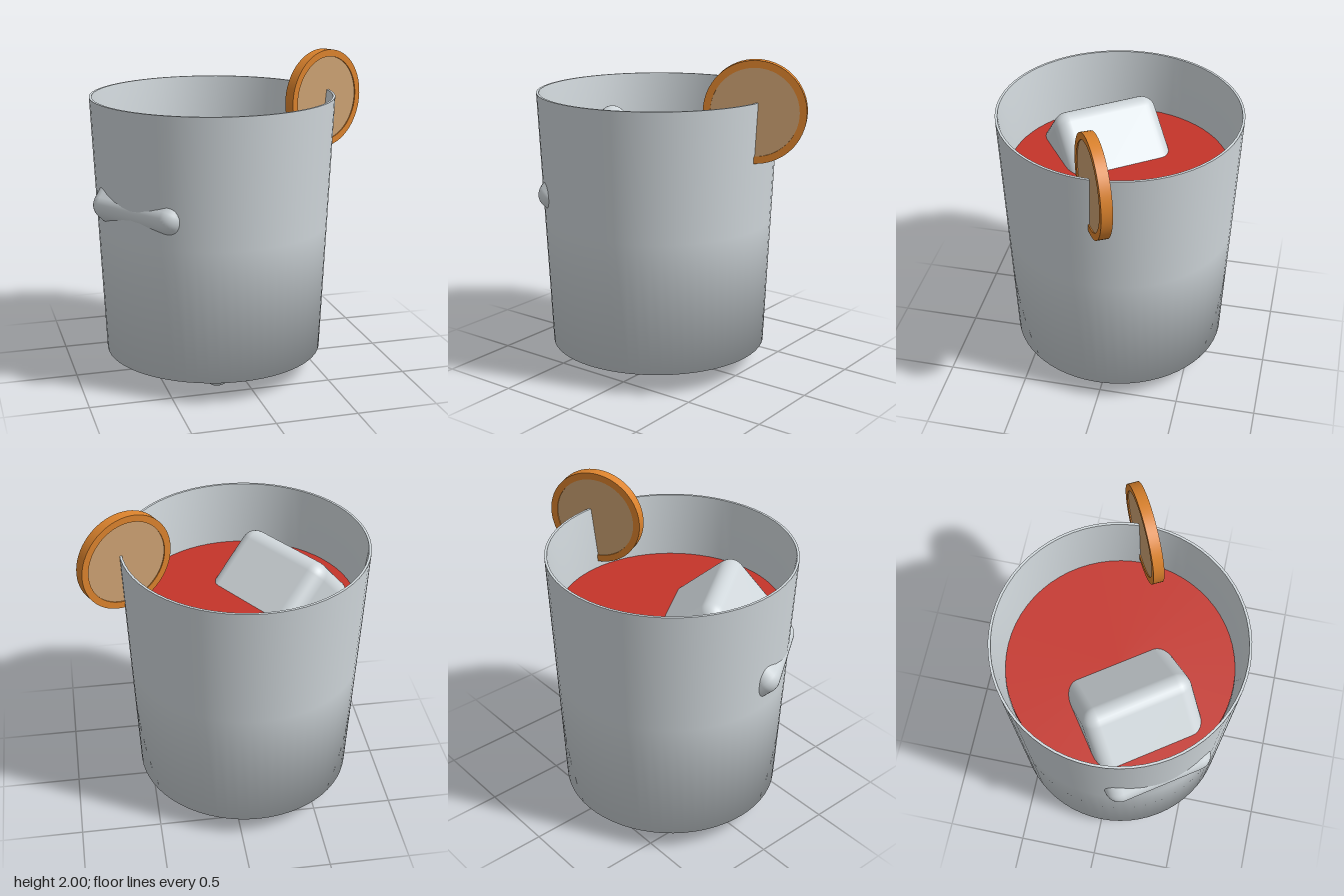
import * as THREE from 'three';
import { RoundedBoxGeometry } from 'three/addons/geometries/RoundedBoxGeometry.js';

function material(name, color) {
  const m = new THREE.MeshStandardMaterial({ color });
  m.name = name;
  return m;
}

export function createModel() {
  const group = new THREE.Group();
  const clear = material('pale glass', 0xd0d7db);
  const red = material('red drink', 0xc4342a);
  const rind = material('orange rind', 0xdc832d);
  const flesh = material('citrus flesh', 0xcda273);

  const add = (parent, name, geometry, mat) => {
    const mesh = new THREE.Mesh(geometry, mat);
    mesh.name = name;
    parent.add(mesh);
    return mesh;
  };
  const lathe = (points) =>
    new THREE.LatheGeometry(points.map(([r, y]) => new THREE.Vector2(r, y)), 64);

  // Tapered tumbler: base and outer wall share smooth normals
  const tumbler = new THREE.Group();
  tumbler.name = 'tumbler';
  tumbler.position.x = -0.11;
  group.add(tumbler);
  add(tumbler, 'outerWall', lathe([[0, 0.14], [0.68, 0.14], [0.716, 0.96], [0.75, 1.75]]), clear);
  add(tumbler, 'rim', lathe([[0.75, 1.75], [0.735, 1.75]]), clear);
  add(tumbler, 'innerWall', lathe([[0.735, 1.75], [0.69, 1.35], [0.65, 0.2]]), clear);

  // Drink filling the tumbler
  const drink = add(tumbler, 'drink', new THREE.CylinderGeometry(0.688, 0.65, 1.15, 64), red);
  drink.position.y = 0.775;

  // Ice cubes, each turned to a pair of its edge directions
  const iceGeometry = new RoundedBoxGeometry(0.68, 0.68, 0.68, 4, 0.09);
  const addIce = (name, position, edgeX, edgeY) => {
    const ice = add(group, name, iceGeometry, clear);
    const x = new THREE.Vector3(...edgeX).normalize();
    const y = new THREE.Vector3(...edgeY);
    y.addScaledVector(x, -x.dot(y)).normalize();
    const z = new THREE.Vector3().crossVectors(x, y);
    ice.quaternion.setFromRotationMatrix(new THREE.Matrix4().makeBasis(x, y, z));
    ice.position.set(...position);
  };
  addIce('upperIceCube', [-0.36, 1.16, 0.14], [0.57, 0, 0.82], [0.538, 0.755, -0.374]);
  addIce('lowerIceCube', [-0.085, 0.465, 0.18], [0.926, 0.288, -0.247], [-0.28, 0.3, -0.91]);

  // Citrus slice pushed onto the rim
  const slice = new THREE.Group();
  slice.name = 'citrusSlice';
  slice.position.set(0.61, 1.695, 0);
  slice.rotation.y = 0.475;
  group.add(slice);
  const ring = lathe([[0.262, -0.033], [0.305, -0.033]]);
  const edge = lathe([[0.305, -0.033], [0.305, 0.033]]);
  const lip = lathe([[0.262, 0.033], [0.262, -0.033]]);
  const rings = [
    add(slice, 'backRindFace', ring, rind),
    add(slice, 'frontRindFace', lathe([[0.305, 0.033], [0.262, 0.033]]), rind),
    add(slice, 'rindEdge', edge, rind),
    add(slice, 'rindLip', lip, rind),
    add(slice, 'flesh', new THREE.CylinderGeometry(0.262, 0.262, 0.052, 64), flesh),
  ];
  rings.forEach((mesh) => { mesh.rotation.x = Math.PI / 2; });

  return group;
}
